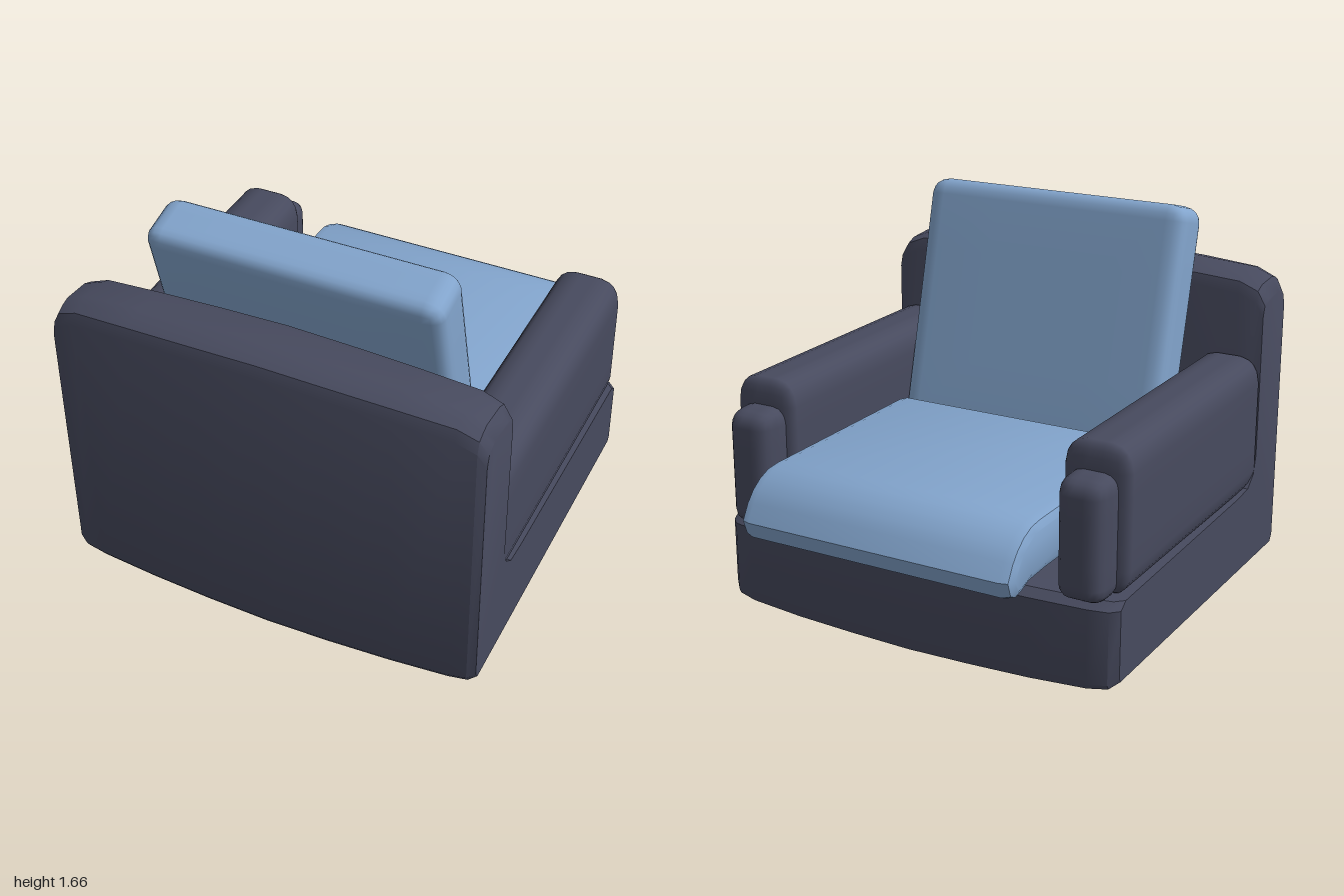
import * as THREE from 'three';
import { mergeVertices, toCreasedNormals } from 'three/addons/utils/BufferGeometryUtils.js';

const dark = new THREE.MeshStandardMaterial({ color: 0x474a5e });
const blue = new THREE.MeshStandardMaterial({ color: 0x82a4cc });

// Box with rounded edges; a separate radius for each axis
function softBox(size, radius) {
  const geo = new THREE.BoxGeometry(2, 2, 2, 8, 8, 8);
  geo.deleteAttribute('uv');
  geo.deleteAttribute('normal');
  const pos = geo.attributes.position;
  for (let i = 0; i < pos.count; i++) {
    const core = [], off = [];
    for (let a = 0; a < 3; a++) {
      const t = pos.getComponent(i, a), half = size[a] / 2 - radius[a];
      const m = Math.abs(t);
      core[a] = m <= 0.5 ? t * 2 * half : Math.sign(t) * half;
      off[a] = m <= 0.5 ? 0 : Math.sign(t) * (m - 0.5) * 2;
    }
    const len = Math.hypot(...off);
    for (let a = 0; a < 3; a++) pos.setComponent(i, a, core[a] + off[a] / len * radius[a]);
  }
  const merged = mergeVertices(geo);
  merged.computeVertexNormals();
  return merged;
}

// Side profile of [z, y] points swept across x, centred on x = 0
function sweep(points, width, options) {
  const shape = new THREE.Shape(points.map(([z, y]) => new THREE.Vector2(z, y)));
  const bevel = options.bevelEnabled ? options.bevelThickness : 0;
  const geo = new THREE.ExtrudeGeometry(shape, { depth: width - 2 * bevel, ...options });
  geo.translate(0, 0, bevel - width / 2);
  geo.rotateY(-Math.PI / 2);
  return geo;
}

function add(group, name, geo, material, x = 0, y = 0, z = 0) {
  const mesh = new THREE.Mesh(geo, material);
  mesh.name = name;
  mesh.position.set(x, y, z);
  group.add(mesh);
  return mesh;
}

// L-shaped base and back whose outer faces bulge towards the middle
function frameGeometry() {
  const profile = [
    [-0.72, 0], [0.98, 0], [1, 0.03], [1, 1.31], [0.985, 1.36], [0.95, 1.38], [0.88, 1.39],
    [0.76, 1.38], [0.715, 1.36], [0.7, 1.31], [0.7, 0.55], [0.68, 0.47], [0.62, 0.42],
    [0.5, 0.41], [-0.69, 0.39], [-0.73, 0.36], [-0.73, 0.02],
  ];
  const x = [-0.92, -0.885, -0.8, -0.55, -0.28, 0, 0.28, 0.55, 0.8, 0.885, 0.92];
  const top = [0, 0.008, 0.02, 0.036, 0.07, 0.13];
  const rear = [0, 0.004, 0.014, 0.028, 0.036, 0.05];
  const front = [0, 0.004, 0.012, 0.028, 0.045, 0.08];
  const bottom = [0, 0.004, 0.01, 0.02, 0.03, 0.055];
  const geo = sweep(profile, 2, { steps: 10, bevelEnabled: false });
  const pos = geo.attributes.position;
  for (let i = 0; i < pos.count; i++) {
    const k = Math.round((pos.getX(i) + 1) * 5), s = Math.abs(k - 5);
    const y = pos.getY(i), z = pos.getZ(i);
    pos.setX(i, x[k]);
    if (y > 1.2) pos.setY(i, y - top[s]);
    if (y < 0.1) pos.setY(i, y + bottom[s]);
    if (z > 0.9) pos.setZ(i, z - rear[s]);
    if (z < -0.6) pos.setZ(i, z + front[s]);
  }
  geo.deleteAttribute('uv');
  return toCreasedNormals(geo, 0.6);
}

export function createModel() {
  const chair = new THREE.Group();
  chair.name = 'armchair';

  add(chair, 'frame', frameGeometry(), dark);

  // Arms, each with a smaller padded panel at its end
  const armGeo = softBox([0.29, 0.62, 1.33], [0.09, 0.11, 0.04]);
  const panelGeo = softBox([0.21, 0.51, 0.22], [0.06, 0.07, 0.09]);
  for (const side of [-1, 1]) {
    const name = side > 0 ? 'left' : 'right';
    add(chair, name + 'Arm', armGeo, dark, side * 0.775, 0.69, 0.06);
    add(chair, name + 'ArmPanel', panelGeo, dark, side * 0.77, 0.635, -0.63);
  }

  // Seat cushion with a lip that droops over the edge
  const seat = sweep([
    [0.18, 0.48], [0.22, 0.52], [0.23, 0.67], [0.19, 0.72], [-0.74, 0.72], [-0.81, 0.714],
    [-0.87, 0.69], [-0.92, 0.655], [-0.96, 0.61], [-1, 0.54], [-0.975, 0.47], [-0.93, 0.45],
    [-0.88, 0.46], [-0.82, 0.48], [-0.7, 0.485],
  ].reverse(), 1.25, {
    bevelEnabled: true, bevelThickness: 0.05, bevelSize: 0.04, bevelOffset: -0.04, bevelSegments: 2,
  });
  seat.deleteAttribute('uv');
  add(chair, 'seatCushion', toCreasedNormals(seat, 0.6), blue, -0.005);

  // Leaning back cushion
  const back = add(chair, 'backCushion', softBox([1.25, 1.1, 0.235], [0.08, 0.07, 0.05]),
    blue, 0.005, 1.113, 0.486);
  back.rotation.x = 0.25;

  return chair;
}
